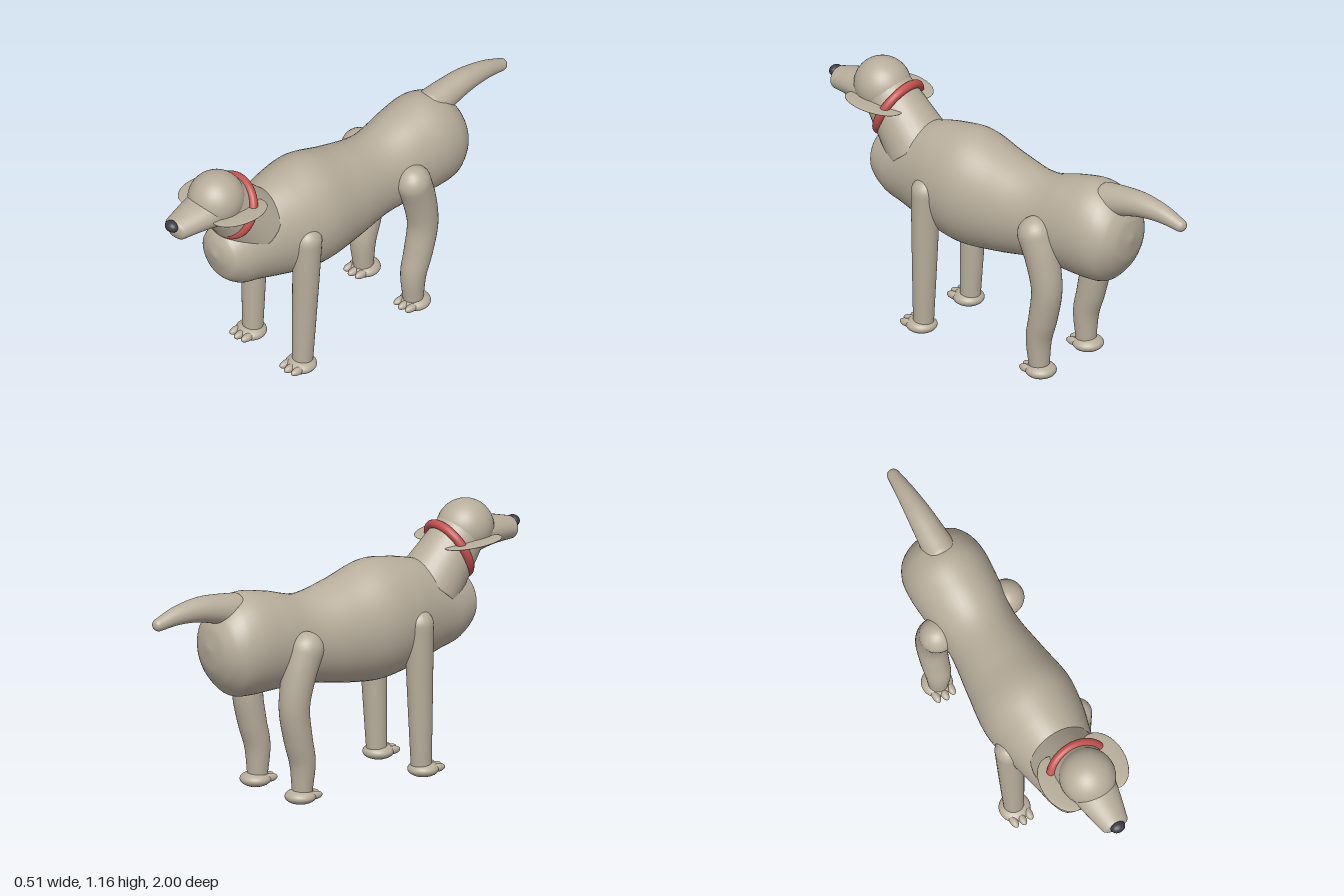
import * as THREE from 'three';
import { mergeVertices } from 'three/addons/utils/BufferGeometryUtils.js';

const coat = new THREE.MeshStandardMaterial({ color: 0xb8ae9c });
coat.name = 'coat';
const red = new THREE.MeshStandardMaterial({ color: 0xc0524f });
red.name = 'collar red';
const dark = new THREE.MeshStandardMaterial({ color: 0x3c3c46 });
dark.name = 'nose dark';

// Smooth skin over elliptical stations [x, y, z, rx, ry].
// capA and capB give the roundness of the ends; fixed keeps rings facing that axis.
function loft(stations, { steps = 40, sides = 32, capA = 0, capB = 0, fixed = null } = {}) {
  const path = new THREE.CatmullRomCurve3(stations.map(s => new THREE.Vector3(s[0], s[1], s[2])));
  const size = new THREE.CatmullRomCurve3(stations.map(s => new THREE.Vector3(s[3], s[4] ?? s[3], 0)), false, 'catmullrom', 0.5);
  const rings = [];
  const add = (c, T, rx, ry) => rings.push({ c, T, rx: Math.max(rx, 0), ry: Math.max(ry, 0) });
  const cap = (t, sign, round) => {
    const T = fixed ?? path.getTangent(t);
    const c = path.getPoint(t), r = size.getPoint(t);
    for (let k = 0; k < 7; k++) {
      const a = (sign < 0 ? k : 7 - k) / 7 * Math.PI / 2;
      add(c.clone().addScaledVector(T, sign * r.y * round * Math.cos(a)), T, r.x * Math.sin(a), r.y * Math.sin(a));
      if (sign > 0 && k === 6) add(c.clone().addScaledVector(T, r.y * round), T, 0, 0);
    }
  };
  cap(0, -1, capA);
  for (let i = 0; i <= steps; i++) {
    const t = i / steps, r = size.getPoint(t);
    add(path.getPoint(t), fixed ?? path.getTangent(t), r.x, r.y);
  }
  cap(1, 1, capB);

  const side = new THREE.Vector3(1, 0, 0);
  const pos = [], idx = [];
  rings.forEach(({ c, T, rx, ry }, i) => {
    const up = new THREE.Vector3().crossVectors(T, side).normalize();
    for (let j = 0; j < sides; j++) {
      const a = j / sides * Math.PI * 2;
      const p = c.clone().addScaledVector(side, rx * Math.cos(a)).addScaledVector(up, ry * Math.sin(a));
      pos.push(p.x, p.y, p.z);
      if (i === rings.length - 1) continue;
      const q = i * sides + j, n = i * sides + (j + 1) % sides;
      idx.push(q, n, n + sides, q, n + sides, q + sides);
    }
  });
  let g = new THREE.BufferGeometry();
  g.setAttribute('position', new THREE.Float32BufferAttribute(pos, 3));
  g.setIndex(idx);
  g = mergeVertices(g, 1e-5);
  g.computeVertexNormals();
  return g;
}

export function createModel() {
  const dog = new THREE.Group();
  dog.name = 'dog';

  const mesh = (name, geometry, material = coat, parent = dog) => {
    const m = new THREE.Mesh(geometry, material);
    m.name = name;
    parent.add(m);
    return m;
  };
  const ball = (name, p, s, material = coat, parent = dog) => {
    const m = mesh(name, new THREE.SphereGeometry(1, 32, 20), material, parent);
    m.position.set(...p);
    m.scale.set(...s);
    return m;
  };

  // Body stations: z, top, bottom, half width
  const body = [
    [-0.70, 0.75, 0.73, 0.01], [-0.685, 0.83, 0.64, 0.09], [-0.65, 0.89, 0.57, 0.145],
    [-0.59, 0.94, 0.51, 0.18], [-0.50, 0.965, 0.497, 0.192], [-0.38, 0.945, 0.498, 0.184],
    [-0.20, 0.90, 0.495, 0.168], [0, 0.935, 0.46, 0.195], [0.18, 0.985, 0.44, 0.22],
    [0.32, 0.972, 0.458, 0.205], [0.43, 0.945, 0.485, 0.178], [0.53, 0.905, 0.515, 0.155],
    [0.62, 0.87, 0.54, 0.137], [0.69, 0.83, 0.60, 0.11], [0.715, 0.79, 0.67, 0.065], [0.728, 0.74, 0.72, 0.01],
  ].map(([z, top, bottom, w]) => [0, (top + bottom) / 2, z, w, (top - bottom) / 2]);
  mesh('body', loft(body, { steps: 90, sides: 48, fixed: new THREE.Vector3(0, 0, 1) }));

  // Neck, head and muzzle
  mesh('neck', loft([[0, 0.80, 0.50, 0.152], [0, 0.92, 0.60, 0.132], [0, 1.04, 0.70, 0.112]]));
  ball('head', [0, 1.04, 0.71], [0.125, 0.125, 0.128]);
  mesh('muzzle', loft([[0, 1.01, 0.72, 0.112, 0.092], [0, 1.005, 0.83, 0.092, 0.068],
    [0, 0.992, 0.945, 0.064, 0.051]], { capB: 0.55 }));
  ball('nose', [0, 1.017, 0.973], [0.034, 0.026, 0.027], dark);

  // Collar leaning back along the neck
  const collar = mesh('collar', new THREE.TorusGeometry(0.131, 0.02, 16, 64), red);
  collar.position.set(0, 0.953, 0.622);
  collar.rotation.x = -0.44;

  // Tail
  mesh('tail', loft([[0, 0.895, -0.56, 0.075], [0, 0.915, -0.65, 0.066], [0, 0.93, -0.75, 0.056],
    [0, 0.925, -0.87, 0.042], [0, 0.902, -0.97, 0.029]], { capA: 0.5, capB: 1 }));

  for (const s of [1, -1]) {
    const sideName = s > 0 ? 'left' : 'right';

    // Thin ears spread flat
    const ear = ball(sideName + 'Ear', [s * 0.108, 0.998, 0.672], [0.092, 0.009, 0.145]);
    ear.rotation.set(-0.05, 0, s * 0.08);

    // Legs
    mesh(sideName + 'FrontLeg', loft([[s * 0.172, 0.705, 0.327, 0.065], [s * 0.167, 0.40, 0.336, 0.057],
      [s * 0.162, 0.05, 0.347, 0.046]], { capA: 1 }));
    mesh(sideName + 'HindLeg', loft([[s * 0.174, 0.705, -0.295, 0.081], [s * 0.172, 0.60, -0.33, 0.076],
      [s * 0.17, 0.45, -0.355, 0.069], [s * 0.167, 0.30, -0.332, 0.064], [s * 0.164, 0.19, -0.306, 0.058],
      [s * 0.162, 0.05, -0.306, 0.045]], { capA: 1 }));

    // Paws with three toes each
    for (const [name, z] of [['FrontPaw', 0.357], ['HindPaw', -0.316]]) {
      const paw = new THREE.Group();
      paw.name = sideName + name;
      paw.position.set(s * 0.163, 0, z);
      dog.add(paw);
      ball('pad', [0, 0.036, 0], [0.07, 0.034, 0.07], coat, paw);
      for (const i of [-1, 0, 1]) {
        ball('toe', [i * 0.037, 0.039, i ? 0.052 : 0.06], [0.018, 0.018, 0.038], coat, paw);
      }
    }
  }
  return dog;
}
